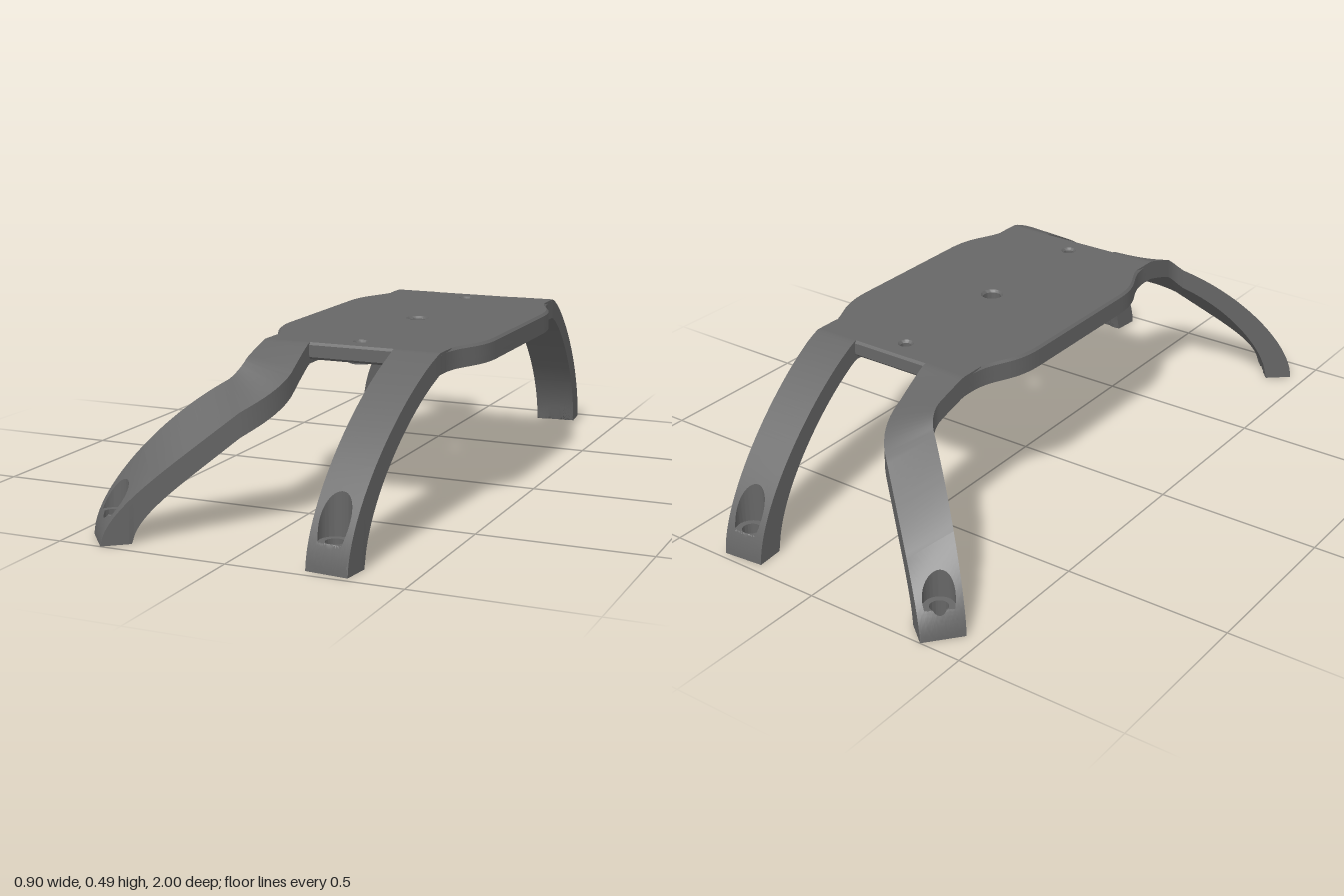
import * as THREE from 'three';
import { toCreasedNormals } from 'three/addons/utils/BufferGeometryUtils.js';

const material = new THREE.MeshStandardMaterial({ color: 0x666666 });
const V2 = (x, y) => new THREE.Vector2(x, y);
const TOP = 0.49, UNDER = 0.43, MID_X = 0.125, ROOT = 0.08, CREASE = 0.35;

function addMesh(parent, geometry, name) {
  const mesh = new THREE.Mesh(geometry, material);
  mesh.name = name;
  parent.add(mesh);
  return mesh;
}

// Skin a list of closed loops with equal point counts.
function skin(loops) {
  const n = loops[0].length, index = [];
  for (let r = 0; r < loops.length - 1; r++) {
    for (let i = 0; i < n; i++) {
      const a = r * n + i, b = r * n + (i + 1) % n;
      index.push(a, b, b + n, a, b + n, a + n);
    }
  }
  const geo = new THREE.BufferGeometry().setFromPoints(loops.flat());
  geo.setIndex(index);
  return toCreasedNormals(geo, CREASE);
}

// Height of a falling arc at distance s and sideways offset w; skew tilts it across the leg.
function arcHeight(y0, p1, p2, end, skew) {
  const pts = new THREE.CubicBezierCurve(V2(0, y0), p1, p2, V2(end, 0)).getPoints(120);
  return (s, w) => {
    const d = s + skew * w * Math.sin(Math.PI * THREE.MathUtils.clamp(s / end, 0, 1));
    if (d <= 0) return y0;
    if (d >= end) return 0;
    const i = pts.findIndex((p) => p.x >= d), a = pts[i - 1], b = pts[i];
    return THREE.MathUtils.mapLinear(d, a.x, b.x, a.y, b.y);
  };
}

// One leg follows a plan path: straight root, bend, straight run to the tip.
function makeLeg([start, bendIn, corner, bendOut, tip], { skew, reach, topY, underY }) {
  const path = new THREE.CurvePath();
  path.add(new THREE.LineCurve(start, bendIn));
  path.add(new THREE.QuadraticBezierCurve(bendIn, corner, bendOut));
  path.add(new THREE.LineCurve(bendOut, tip));
  const total = path.getLength(), L = total - ROOT, heel = L - 0.085;
  const top = arcHeight(TOP, V2(reach * L, topY[0]), V2(L - 0.012, topY[1]), L, skew);
  const under = arcHeight(UNDER, V2(reach * heel, underY[0]), V2(heel - 0.012, underY[1]), heel, skew);
  const half = (s) => THREE.MathUtils.lerp(0.069, 0.062, THREE.MathUtils.clamp(s / L, 0, 1));
  const place = (s, w, height) => {
    const u = THREE.MathUtils.clamp((s + ROOT) / total, 0, 1);
    const p = path.getPoint(u), t = path.getTangent(u);
    return new THREE.Vector3(p.x + t.y * w, height(s, w), p.y - t.x * w);
  };
  const leg = new THREE.Group();

  // Arched beam with a four-sided section
  const cut = L - 0.14, sections = [], steps = 44;
  for (let i = 0; i <= steps; i++) {
    const s = THREE.MathUtils.lerp(-ROOT, cut, i / steps), h = half(s);
    sections.push([place(s, h, top), place(s, -h, top), place(s, -h, under), place(s, h, under)]);
  }
  addMesh(leg, skin(sections), 'legBeam');

  // Foot: rings around a screw hole with a counterbore cut into the slope
  const holeS = L - 0.045, rim = [], perSide = 32;
  const corners = [V2(L, half(L)), V2(L, -half(L)), V2(cut, -half(cut)), V2(cut, half(cut))];
  corners.forEach((c, k) => {
    for (let i = 0; i < perSide; i++) rim.push(c.clone().lerp(corners[(k + 1) % 4], i / perSide));
  });
  const ring = (radius, blend, height) => rim.map((p) => {
    const d = V2(p.x - holeS, p.y), c = d.clone().setLength(radius).lerp(d, blend);
    return place(holeS + c.x, c.y, height);
  });
  const ledge = (s, w) => Math.min(0.075, top(s, w));
  const loops = [ring(0.026, 0, under)];
  for (let i = 0; i <= 6; i++) loops.push(ring(0.026 + 0.003 * i, 0, ledge));
  for (let i = 0; i <= 6; i++) loops.push(ring(0.044, i / 6, top));
  for (let i = 12; i >= 0; i--) loops.push(ring(0.026, i / 12, under));
  addMesh(leg, skin(loops), 'foot');
  return leg;
}

// Plate outline; notch is how far the ends are cut back between the legs.
function plateShape(notch) {
  const s = new THREE.Shape();
  const e = 0.49, n = e - notch, r = 0.03;
  s.moveTo(-0.138, -e);
  if (notch) {
    s.lineTo(0, -e).lineTo(0, -n - r).quadraticCurveTo(0, -n, r, -n);
    s.lineTo(0.254 - r, -n).quadraticCurveTo(0.254, -n, 0.254, -n - r).lineTo(0.254, -e);
  }
  s.lineTo(0.391, -e);
  s.lineTo(0.391, -0.45);
  s.bezierCurveTo(0.395, -0.35, 0.452, -0.34, 0.452, -0.21);
  s.lineTo(0.452, 0.21);
  s.bezierCurveTo(0.452, 0.34, 0.395, 0.35, 0.391, 0.45);
  s.lineTo(0.391, e);
  if (notch) {
    s.lineTo(0.254, e).lineTo(0.254, n + r).quadraticCurveTo(0.254, n, 0.254 - r, n);
    s.lineTo(r, n).quadraticCurveTo(0, n, 0, n + r).lineTo(0, e);
  }
  s.lineTo(-0.138, e);
  s.lineTo(-0.138, 0.45);
  s.bezierCurveTo(-0.142, 0.35, -0.2, 0.34, -0.2, 0.21);
  s.lineTo(-0.2, -0.21);
  s.bezierCurveTo(-0.2, -0.34, -0.142, -0.35, -0.138, -0.45);
  s.closePath();
  return s;
}

const circle = (Kind, x, z, r) => new Kind().absarc(x, z, r, 0, Math.PI * 2, false);

// Extrude a plan shape upwards between two heights.
function slab(shape, y0, y1, bevel = 0) {
  const geo = new THREE.ExtrudeGeometry(shape, {
    depth: y1 - y0 - 2 * bevel, curveSegments: 20, bevelEnabled: bevel > 0,
    bevelSize: bevel, bevelThickness: bevel, bevelOffset: -bevel, bevelSegments: 1,
  });
  return toCreasedNormals(geo.translate(0, 0, bevel).rotateX(-Math.PI / 2).translate(0, y0, 0), CREASE);
}

export function createModel() {
  const model = new THREE.Group();
  model.name = 'fourLeggedBracket';

  // Deck with a through hole in the middle and a screw hole at each end
  const deck = plateShape(0);
  deck.holes.push(circle(THREE.Path, MID_X, 0, 0.027));
  for (const z of [-0.415, 0.415]) deck.holes.push(circle(THREE.Path, MID_X, z, 0.016));
  addMesh(model, slab(deck, 0.442, TOP, 0.007), 'deck');

  // Underside rim around the centre pocket and the two end pockets
  const rim = plateShape(0.15);
  const pocket = new THREE.Path(), a = 0.2, b = 0.22, r = 0.035;
  const x0 = MID_X - a, x1 = MID_X + a;
  pocket.moveTo(x0 + r, -b);
  pocket.lineTo(x1 - r, -b).quadraticCurveTo(x1, -b, x1, -b + r);
  pocket.lineTo(x1, b - r).quadraticCurveTo(x1, b, x1 - r, b);
  pocket.lineTo(x0 + r, b).quadraticCurveTo(x0, b, x0, b - r);
  pocket.lineTo(x0, -b + r).quadraticCurveTo(x0, -b, x0 + r, -b);
  rim.holes.push(pocket);
  addMesh(model, slab(rim, UNDER, 0.45), 'undersideRim');

  // Screw bosses in the end pockets, each hole closed by a thin web
  for (const z of [-0.415, 0.415]) {
    const boss = circle(THREE.Shape, MID_X, z, 0.033);
    boss.holes.push(circle(THREE.Path, MID_X, z, 0.02));
    addMesh(model, slab(boss, UNDER, 0.445), 'screwBoss');
    addMesh(model, slab(circle(THREE.Shape, MID_X, z, 0.018), 0.46, 0.468), 'holeWeb');
  }

  // Splayed right legs and nearly straight left legs, mirrored front to back
  const splayedPath = [V2(-0.069, 0.41), V2(-0.069, 0.6), V2(-0.069, 0.665), V2(-0.119, 0.707), V2(-0.413, 0.952)];
  const straightPath = [V2(0.322, 0.41), V2(0.322, 0.46), V2(0.322, 0.5), V2(0.318, 0.54), V2(0.276, 0.975)];
  for (const side of [1, -1]) {
    const end = side > 0 ? 'front' : 'back';
    const splayed = makeLeg(splayedPath, { skew: 0.9, reach: 0.37, topY: [0.4, 0.165], underY: [0.35, 0.15] });
    const straight = makeLeg(straightPath, { skew: 0, reach: 0.41, topY: [0.42, 0.185], underY: [0.365, 0.175] });
    splayed.name = end + 'RightLeg';
    straight.name = end + 'LeftLeg';
    for (const leg of [splayed, straight]) {
      leg.scale.z = side;
      model.add(leg);
    }
  }
  return model;
}
